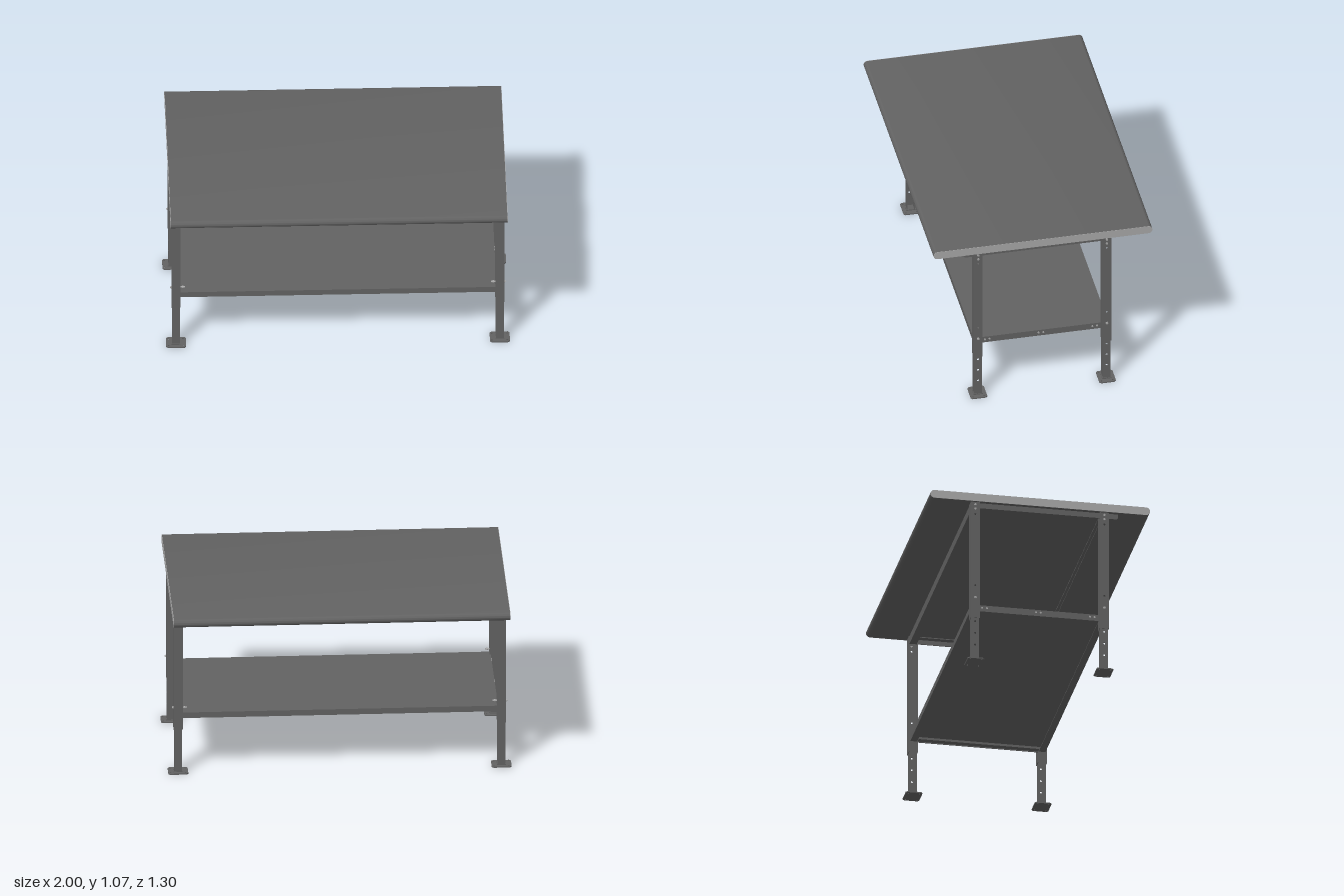
import * as THREE from 'three';
import { toCreasedNormals } from 'three/addons/utils/BufferGeometryUtils.js';

function paint(name, color) {
  const material = new THREE.MeshStandardMaterial({ color });
  material.name = name;
  return material;
}
const steel = paint('dark grey steel', 0x626262);
const bright = paint('light grey metal', 0xa8a8a8);

function add(parent, name, geometry, x = 0, y = 0, z = 0, material = steel) {
  const mesh = new THREE.Mesh(geometry, material);
  mesh.name = name;
  mesh.position.set(x, y, z);
  parent.add(mesh);
  return mesh;
}

// Box given by its limits on each axis
function bar(parent, name, [x0, x1], [y0, y1], [z0, z1]) {
  return add(parent, name, new THREE.BoxGeometry(x1 - x0, y1 - y0, z1 - z0),
    (x0 + x1) / 2, (y0 + y1) / 2, (z0 + z1) / 2);
}

// Outline drawn as (-z, y), extruded along x and centred on x = 0
function sideProfile(shape, width) {
  const g = new THREE.ExtrudeGeometry(shape, { depth: width, bevelEnabled: false, curveSegments: 10 });
  g.translate(0, 0, -width / 2).rotateY(Math.PI / 2);
  return toCreasedNormals(g, 0.6);
}

function polygon(points) {
  return new THREE.Shape(points.map(([x, y]) => new THREE.Vector2(x, y)));
}

function punch(shape, x, y, r) {
  shape.holes.push(new THREE.Path().absarc(x, y, r, 0, Math.PI * 2, true));
}

// Bolt lying along x
function bolt(parent, x, y, z, r = 0.007, length = 0.008) {
  const g = new THREE.CylinderGeometry(r, r, length, 10).rotateZ(Math.PI / 2);
  add(parent, 'bolt', g, x, y, z, bright);
}

// Channel post with its web on +x, open towards -x
function post(parent, name, halfWidth, y0, y1, holes) {
  const t = 0.003;
  const web = polygon([[-halfWidth, y0], [halfWidth, y0], [halfWidth, y1], [-halfWidth, y1]]);
  for (const y of holes) punch(web, 0, y, 0.006);
  add(parent, name + 'Web', sideProfile(web, t), halfWidth - t / 2);
  for (const s of [-1, 1]) {
    const z = s * (halfWidth - t / 2);
    bar(parent, name + 'Flange', [-halfWidth, halfWidth - t], [y0, y1], [z - t / 2, z + t / 2]);
  }
}

function makeLeg() {
  const leg = new THREE.Group();
  leg.name = 'leg';
  post(leg, 'upperLeg', 0.0265, 0.275, 1.017, [0.94, 0.483]);
  post(leg, 'lowerLeg', 0.023, 0.007, 0.42, [0.254, 0.179, 0.104]);

  // Foot plate with clipped corners and anchor holes
  const w = 0.058, d = 0.049, c = 0.01;
  const plate = polygon([[-w + c, -d], [w - c, -d], [w, -d + c], [w, d - c],
    [w - c, d], [-w + c, d], [-w, d - c], [-w, -d + c]]);
  for (const x of [-1, 1]) for (const z of [-1, 1]) punch(plate, x * 0.044, z * 0.033, 0.005);
  const footGeo = new THREE.ExtrudeGeometry(plate, { depth: 0.007, bevelEnabled: false });
  add(leg, 'footPlate', footGeo.rotateX(-Math.PI / 2));
  bar(leg, 'footWeld', [-0.026, 0.027], [0.007, 0.013], [-0.027, 0.027]);

  // Height bolt through the post and the top fixing bolts
  bolt(leg, 0.027, 0.405, 0, 0.008);
  bolt(leg, -0.008, 0.405, 0, 0.005, 0.086);
  bolt(leg, -0.038, 0.405, 0, 0.008);
  for (const y of [1.0, 0.973]) bolt(leg, 0.0275, y, 0);
  return leg;
}

export function createModel() {
  const table = new THREE.Group();
  table.name = 'workbench';

  // Worktop with rounded front and back edges
  const r = 0.0245, e = 0.65 - r, cy = 1.0415;
  const top = new THREE.Shape();
  top.moveTo(-e, cy - r);
  top.lineTo(e, cy - r);
  top.absarc(e, cy, r, -Math.PI / 2, Math.PI / 2, false);
  top.absarc(-e, cy, r, Math.PI / 2, Math.PI * 1.5, false);
  add(table, 'worktop', sideProfile(top, 1.956));

  // Bright trim closing both ends of the worktop
  for (const s of [-1, 1]) add(table, 'worktopEnd', sideProfile(top, 0.002), s * 0.979, 0, 0, bright);

  // Four legs, with the closed side facing outwards
  for (const sx of [-1, 1]) {
    for (const sz of [-1, 1]) {
      const leg = makeLeg();
      leg.position.set(sx * 0.941, 0, sz * 0.382);
      if (sx < 0) leg.rotation.y = Math.PI;
      table.add(leg);
    }
  }

  // Long channel rails under the worktop, open towards the middle
  for (const s of [-1, 1]) {
    const span = [-0.915, 0.915];
    const range = (a, b) => (s > 0 ? [a, b] : [-b, -a]);
    bar(table, 'longRailWeb', span, [0.967, 1.017], range(0.4, 0.405));
    bar(table, 'longRailTopFlange', span, [1.012, 1.017], range(0.362, 0.4));
    bar(table, 'longRailBottomFlange', span, [0.967, 0.971], range(0.362, 0.4));
  }

  // Short rails at both ends, running forward past the front legs
  const endRail = new THREE.Shape();
  endRail.moveTo(0.36, 1.017);
  endRail.lineTo(-0.465, 1.017);
  endRail.lineTo(-0.465, 0.998);
  endRail.quadraticCurveTo(-0.465, 0.985, -0.452, 0.985);
  endRail.lineTo(0.36, 0.985);
  for (const s of [-1, 1]) {
    add(table, 'endRail', sideProfile(endRail, 0.006), s * 0.951);
    const inner = s > 0 ? [0.915, 0.948] : [-0.948, -0.915];
    bar(table, 'endRailFlange', inner, [1.012, 1.017], [-0.36, 0.465]);
  }

  // Folded sheet shelf: top, downward edges and return lips
  const shelf = new THREE.Group();
  shelf.name = 'lowerShelf';
  table.add(shelf);
  const sx = 0.915, sz = 0.4, t = 0.005;
  bar(shelf, 'shelfTop', [-sx, sx], [0.374, 0.379], [-sz, sz]);
  for (const s of [-1, 1]) {
    const range = (a, b) => (s > 0 ? [a, b] : [-b, -a]);
    bar(shelf, 'shelfEdge', [-sx, sx], [0.344, 0.374], range(sz - t, sz));
    bar(shelf, 'shelfLip', [-sx, sx], [0.344, 0.348], range(sz - 0.04, sz - t));

    // Angle brackets carrying the shelf between the legs
    bar(shelf, 'shelfSupport', range(0.915, 0.921), [0.34, 0.379], [-0.357, 0.357]);
    bar(shelf, 'shelfSupportLip', range(0.88, 0.915), [0.344, 0.348], [-0.357, 0.357]);
    for (const z of [-0.333, -0.305, -0.014, 0.014, 0.305, 0.333]) {
      bolt(shelf, s * 0.922, 0.362, z, 0.006, 0.006);
    }
  }
  return table;
}
